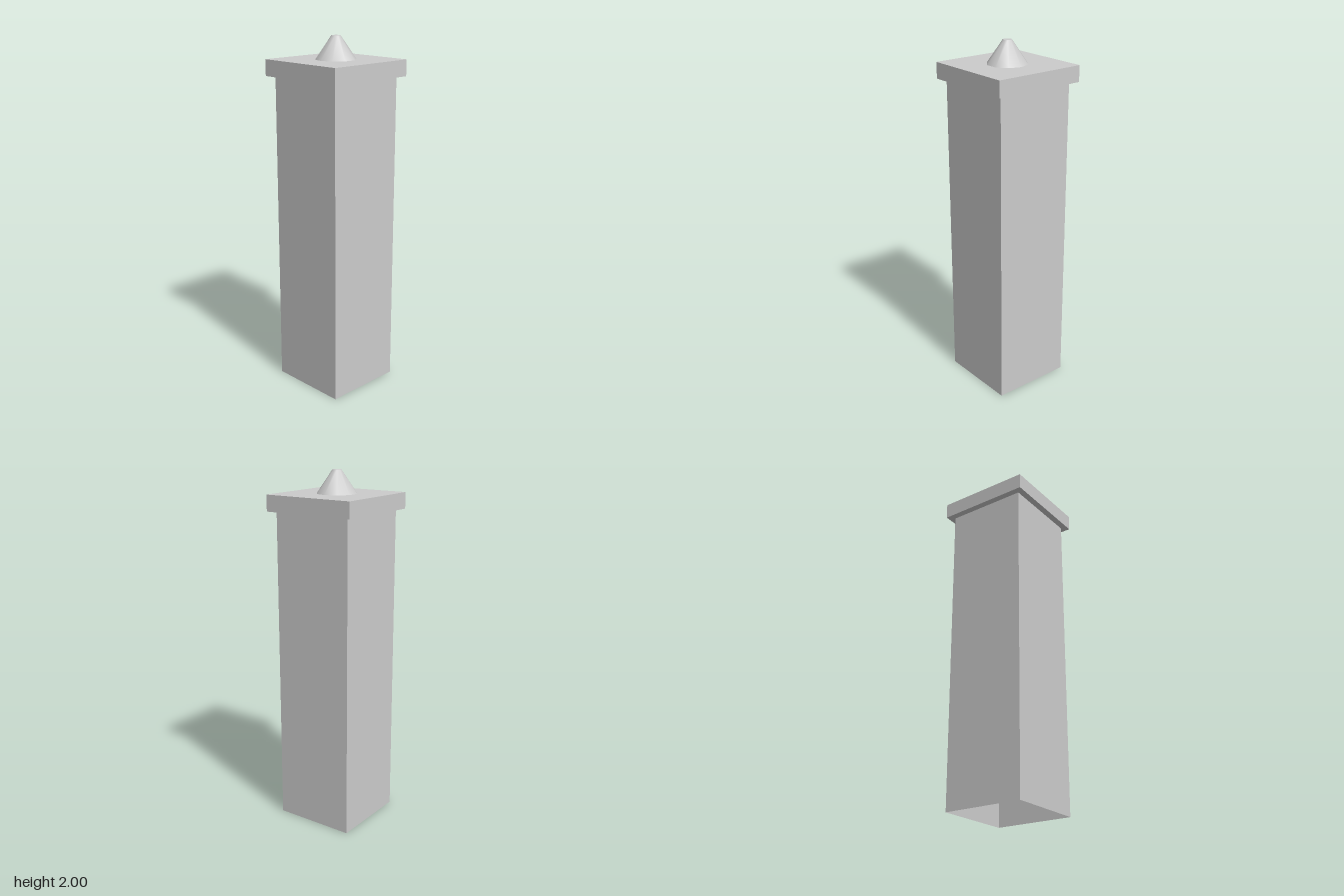
import * as THREE from 'three';

const POST_WIDTH = 0.463;
const CAP_WIDTH = 0.537;
const CAP_BOTTOM = 1.783;
const CAP_TOP = 1.873;
const HEIGHT = 2;

export function createModel() {
  const model = new THREE.Group();
  model.name = 'pillar';

  const solid = new THREE.MeshStandardMaterial({ color: 0xcccccc });
  const thin = new THREE.MeshStandardMaterial({ color: 0xcccccc, side: THREE.DoubleSide });

  // Adds a part standing on the given height
  function add(name, geometry, material, bottom, height) {
    const mesh = new THREE.Mesh(geometry, material);
    mesh.name = name;
    mesh.position.y = bottom + height / 2;
    model.add(mesh);
  }

  // Hollow square shaft: four walls, open underneath and closed above by the cap
  const walls = new THREE.BoxGeometry(POST_WIDTH, CAP_BOTTOM, POST_WIDTH);
  const index = Array.from(walls.index.array);
  index.splice(12, 12); // drop the top and bottom faces
  walls.setIndex(index);
  walls.clearGroups();
  add('shaft', walls, thin, 0, CAP_BOTTOM);

  // Overhanging square cap
  const capHeight = CAP_TOP - CAP_BOTTOM;
  add('cap', new THREE.BoxGeometry(CAP_WIDTH, capHeight, CAP_WIDTH), solid, CAP_BOTTOM, capHeight);

  // Ten-sided blunt cone, corners on the x axis
  const coneHeight = HEIGHT - CAP_TOP;
  const cone = new THREE.CylinderGeometry(0.025, 0.113, coneHeight, 10, 1, false, Math.PI / 2);
  add('finial', cone, solid, CAP_TOP, coneHeight);

  return model;
}
